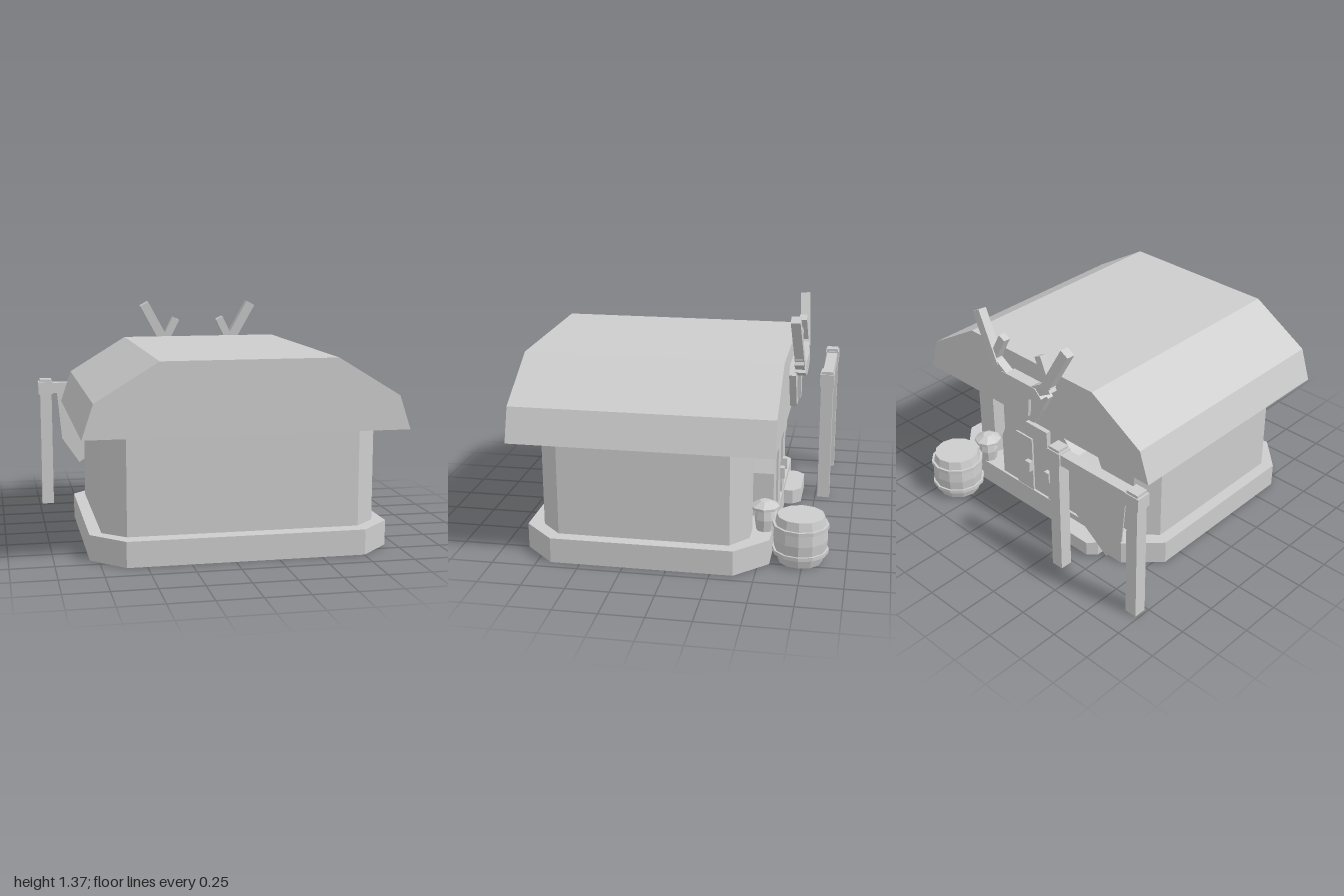
import * as THREE from 'three';

const CX = 0.068; // centre line of the house
const stone = new THREE.MeshStandardMaterial({ color: 0xcccccc, flatShading: true, side: THREE.DoubleSide });
stone.name = 'plain grey';

export function createModel() {
  const model = new THREE.Group();
  model.name = 'house';

  const add = (name, geometry, x = 0, y = 0, z = 0) => {
    const mesh = new THREE.Mesh(geometry, stone);
    mesh.name = name;
    mesh.position.set(x, y, z);
    model.add(mesh);
    return mesh;
  };
  const shape = (pts) => new THREE.Shape(pts.map(([x, y]) => new THREE.Vector2(x, y)));
  // Box given by its limits
  const box = (name, x0, x1, y0, y1, z0, z1) =>
    add(name, new THREE.BoxGeometry(x1 - x0, y1 - y0, z1 - z0), (x0 + x1) / 2, (y0 + y1) / 2, (z0 + z1) / 2);
  // Outline in x and y, extruded between two z values
  const slab = (name, pts, z0, z1) =>
    add(name, new THREE.ExtrudeGeometry(shape(pts), { depth: z1 - z0, bevelEnabled: false }), 0, 0, z0);
  // Outline in x and z, extruded upwards
  const prism = (name, pts, y0, y1) => {
    const g = new THREE.ExtrudeGeometry(shape(pts.map(([x, z]) => [x, -z])), { depth: y1 - y0, bevelEnabled: false });
    return add(name, g.rotateX(-Math.PI / 2), 0, y0, 0);
  };
  // Square bar between two points
  const bar = (name, a, b, w, d) => {
    const from = new THREE.Vector3(...a), to = new THREE.Vector3(...b);
    const m = add(name, new THREE.BoxGeometry(w, from.distanceTo(to), d));
    m.position.copy(from).add(to).multiplyScalar(0.5);
    m.quaternion.setFromUnitVectors(new THREE.Vector3(0, 1, 0), to.sub(from).normalize());
    return m;
  };

  // Foundation: chamfered skirt, open below, with a floor on top
  const base = [[-0.615, 0.855], [0.755, 0.855], [0.94, 0.67], [0.94, -0.38],
    [0.755, -0.565], [-0.615, -0.565], [-0.8, -0.38], [-0.8, 0.67]];
  const skirt = [];
  base.forEach(([x, z], i) => {
    const [u, w] = base[(i + 1) % base.length];
    skirt.push(x, 0, z, u, 0, w, u, 0.148, w, x, 0, z, u, 0.148, w, x, 0.148, z);
  });
  const skirtGeometry = new THREE.BufferGeometry();
  skirtGeometry.setAttribute('position', new THREE.Float32BufferAttribute(skirt, 3));
  skirtGeometry.computeVertexNormals();
  add('foundationSkirt', skirtGeometry);
  add('foundationFloor', new THREE.ShapeGeometry(shape(base.map(([x, z]) => [x, -z]))).rotateX(-Math.PI / 2), 0, 0.148, 0);

  // Walls with a recess at the entrance
  prism('walls', [[-0.6, 0.76], [0.74, 0.76], [0.865, 0.64], [0.865, -0.35], [0.74, -0.45], [0.61, -0.45],
    [0.59, -0.38], [-0.455, -0.38], [-0.475, -0.45], [-0.605, -0.45], [-0.73, -0.35], [-0.73, 0.64]], 0.148, 0.727);

  // Roof
  slab('roof', [[-0.855, 0.725], [0.995, 0.725], [0.93, 0.92], [0.57, 1.14], [-0.43, 1.14], [-0.79, 0.92]], -0.61, 0.89);

  // Entrance: arched surround, two leaves, handles, plaque and step
  slab('doorSurround', [[CX - 0.35, 0.02], [CX + 0.35, 0.02], [CX + 0.35, 0.42], [CX + 0.29, 0.56],
    [CX + 0.17, 0.71], [CX - 0.17, 0.71], [CX - 0.29, 0.56], [CX - 0.35, 0.42]], -0.55, -0.38);
  for (const s of [1, -1]) {
    const x = CX + s * 0.135;
    box('doorLeaf', x - 0.07, x + 0.07, 0.05, 0.53, -0.562, -0.545);
    const h = CX + s * 0.085;
    box('doorHandle', h - 0.02, h + 0.02, 0.3, 0.37, -0.59, -0.56);
  }
  box('plaque', CX - 0.09, CX + 0.09, 0.56, 0.66, -0.58, -0.55);
  prism('doorStep', [[-0.48, -0.55], [-0.48, -0.62], [-0.43, -0.67], [-0.17, -0.67], [-0.12, -0.62], [-0.12, -0.55]], 0.02, 0.11);

  // Trophy head on the gable
  slab('trophyHead', [[CX - 0.06, 0.755], [CX + 0.06, 0.755], [CX + 0.13, 0.87], [CX + 0.19, 0.98],
    [CX + 0.13, 1.03], [CX - 0.13, 1.03], [CX - 0.19, 0.98], [CX - 0.13, 0.87]], -0.65, -0.6);
  slab('trophyBrow', [[CX - 0.07, 0.95], [CX + 0.07, 0.95], [CX + 0.19, 1.0], [CX + 0.14, 1.05],
    [CX - 0.14, 1.05], [CX - 0.19, 1.0]], -0.705, -0.64);
  slab('trophySnout', [[CX - 0.035, 0.8], [CX + 0.035, 0.8], [CX + 0.05, 0.96], [CX - 0.05, 0.96]], -0.67, -0.64);
  for (const s of [1, -1]) {
    bar('antlerArm', [CX + s * 0.05, 0.98, -0.675], [CX + s * 0.24, 1.09, -0.67], 0.065, 0.055);
    bar('antlerBeam', [CX + s * 0.2, 1.06, -0.675], [CX + s * 0.362, 1.355, -0.655], 0.06, 0.055);
    bar('antlerTine', [CX + s * 0.235, 1.08, -0.67], [CX + s * 0.148, 1.255, -0.66], 0.05, 0.045);
  }

  // Banner stand
  for (const x of [-0.945, -0.358]) {
    box('bannerPost', x - 0.038, x + 0.038, 0, 0.85, -0.842, -0.766);
    box('postCollar', x - 0.05, x + 0.046, 0.75, 0.832, -0.848, -0.76);
  }
  box('bannerRail', -0.96, -0.35, 0.755, 0.825, -0.838, -0.77);
  slab('banner', [[-0.87, 0.76], [-0.84, 0.44], [-0.725, 0.27], [-0.47, 0.46], [-0.44, 0.76]], -0.808, -0.8);

  // Barrel with two hoops
  const lathe = (name, pts, sides, x, y, z) =>
    add(name, new THREE.LatheGeometry(pts.map(([r, h]) => new THREE.Vector2(r, h)), sides), x, y, z);
  lathe('barrel', [[0, 0], [0.128, 0], [0.15, 0.07], [0.157, 0.14], [0.152, 0.21], [0.137, 0.28], [0, 0.28]], 12, 0.66, 0, -0.733);
  for (const y of [0.057, 0.207]) {
    lathe('barrelHoop', [[0.14, 0], [0.163, 0], [0.163, 0.022], [0.14, 0.022]], 12, 0.66, y, -0.733);
  }

  // Small covered jar beside the door
  lathe('jar', [[0, 0], [0.05, 0], [0.06, 0.07], [0.05, 0.13], [0.085, 0.135], [0.085, 0.15], [0.03, 0.18], [0, 0.18]], 8, 0.6, 0.148, -0.52);

  return model;
}
